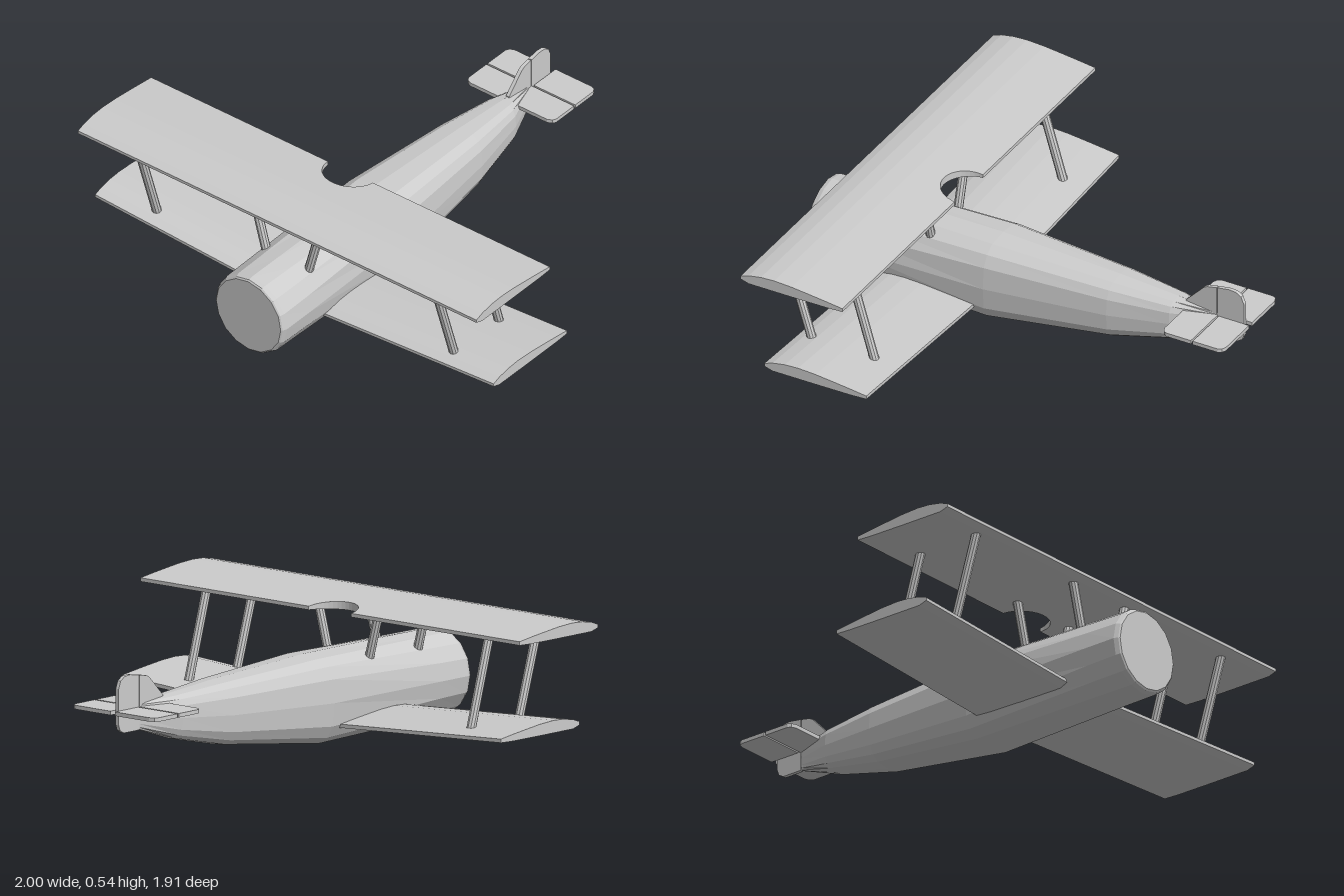
import * as THREE from 'three';

const V = (x, y, z) => new THREE.Vector3(x, y, z);
const grey = new THREE.MeshStandardMaterial({ color: 0xcccccc, flatShading: true, side: THREE.DoubleSide });

function add(group, name, geometry) {
  const mesh = new THREE.Mesh(geometry, grey);
  mesh.name = name;
  group.add(mesh);
  return mesh;
}

// Skin between rings of equal length, closed by a fan at each end
function loft(rings) {
  const pos = [];
  const tri = (...pts) => pts.forEach(p => pos.push(p.x, p.y, p.z));
  const n = rings[0].length;
  for (let i = 0; i < rings.length - 1; i++) {
    for (let j = 0; j < n; j++) {
      const k = (j + 1) % n;
      const a = rings[i][j], b = rings[i][k], c = rings[i + 1][k], d = rings[i + 1][j];
      tri(a, d, b);
      tri(b, d, c);
    }
  }
  const cap = (ring, flip) => {
    const mid = ring.reduce((s, p) => s.add(p), V(0, 0, 0)).divideScalar(n);
    ring.forEach((p, j) => {
      const q = ring[(j + 1) % n];
      flip ? tri(mid, q, p) : tri(mid, p, q);
    });
  };
  cap(rings[0], false);
  cap(rings[rings.length - 1], true);
  const g = new THREE.BufferGeometry();
  g.setAttribute('position', new THREE.Float32BufferAttribute(pos, 3));
  g.computeVertexNormals();
  return g;
}

// Fuselage ring: superellipse, round at the nose and squarer behind
function bodyRing([z, halfWidth, top, bottom, power]) {
  const cy = (top + bottom) / 2, h = (top - bottom) / 2;
  const bend = v => Math.sign(v) * Math.pow(Math.abs(v), 2 / power);
  return Array.from({ length: 16 }, (_, i) => {
    const a = (i / 16) * Math.PI * 2;
    return V(halfWidth * bend(Math.cos(a)), cy + h * bend(Math.sin(a)), z);
  });
}

// Wing section: chord fraction and height above the flat underside
const CHORD = 0.46;
const UPPER = [[0, 0.024], [0.08, 0.037], [0.2, 0.047], [0.33, 0.05], [0.5, 0.046], [0.7, 0.036], [0.85, 0.028], [1, 0.019]];
const LOWER = [[1, 0.004], [0.85, 0.001], [0.5, 0], [0.08, 0], [0, 0.011]];

function heightAt(curve, t) {
  const c = [...curve].sort((p, q) => p[0] - q[0]);
  const i = Math.max(1, c.findIndex(p => p[0] >= t));
  const [[t0, y0], [t1, y1]] = [c[i - 1], c[i]];
  return y0 + (y1 - y0) * (t - t0) / (t1 - t0);
}

function wingRing(x, y, zFront, tEnd = 1) {
  return [UPPER, LOWER].flatMap(curve => curve.map(([t]) => {
    const u = Math.min(t, tEnd);
    return V(x, y + heightAt(curve, u), zFront - u * CHORD);
  }));
}

// Round bar between two points
function bar(group, name, a, b, radius) {
  const dir = b.clone().sub(a);
  const mesh = add(group, name, new THREE.CylinderGeometry(radius, radius, dir.length(), 10));
  mesh.position.copy(a).add(b).multiplyScalar(0.5);
  mesh.quaternion.setFromUnitVectors(V(0, 1, 0), dir.normalize());
}

// Thin plate from an outline, centred on its thickness
function plate(points, thickness = 0.016) {
  const shape = new THREE.Shape(points.map(p => new THREE.Vector2(...p)));
  return new THREE.ExtrudeGeometry(shape, { depth: thickness, bevelEnabled: false })
    .translate(0, 0, -thickness / 2);
}

export function createModel() {
  const model = new THREE.Group();
  model.name = 'biplane';

  // Fuselage: z, half width, top, bottom, squareness
  add(model, 'fuselage', loft([
    [0.955, 0.162, 0.343, 0.017, 2],
    [0.95, 0.168, 0.35, 0.01, 2],
    [0.932, 0.175, 0.356, 0.003, 2],
    [0.78, 0.174, 0.356, 0.003, 2.1],
    [0.16, 0.162, 0.356, 0, 3],
    [-0.37, 0.116, 0.33, 0.07, 3],
    [-0.63, 0.075, 0.311, 0.13, 3],
    [-0.81, 0.006, 0.292, 0.19, 3],
  ].map(bodyRing)));

  // Upper wing with a half-round cutout in the trailing edge
  const cut = 0.112;
  const stations = [wingRing(-1, 0.49, 0.775), wingRing(-cut - 0.0005, 0.49, 0.775)];
  for (let i = 0; i <= 20; i++) {
    const a = Math.PI * (1 - i / 20);
    stations.push(wingRing(cut * Math.cos(a), 0.49, 0.775, 1 - cut * Math.sin(a) / CHORD));
  }
  stations.push(wingRing(cut + 0.0005, 0.49, 0.775), wingRing(1, 0.49, 0.775));
  add(model, 'upperWing', loft(stations));

  // Lower wing, rising towards the tips
  add(model, 'lowerWing', loft([-1, 0, 1].map(x => wingRing(x, 0.06 + 0.057 * Math.abs(x), 0.667))));

  // Struts
  for (const [side, s] of [['left', 1], ['right', -1]]) {
    for (const [end, zTop, zBottom] of [['Front', 0.71, 0.595], ['Rear', 0.425, 0.315]]) {
      bar(model, side + end + 'WingStrut', V(0.745 * s, 0.5, zTop), V(0.745 * s, 0.13, zBottom), 0.019);
      bar(model, side + end + 'CabinStrut', V(0.158 * s, 0.5, zTop), V(0.1 * s, 0.285, zTop), 0.019);
    }
  }

  // Upright tail: outlines as distance aft and height
  add(model, 'fin', plate([[0.67, 0.28], [0.67, 0.31], [0.75, 0.393], [0.765, 0.401], [0.807, 0.409], [0.807, 0.2]])
    .rotateY(Math.PI / 2));
  add(model, 'rudder', plate([
    [0.811, 0.19], [0.811, 0.41], [0.865, 0.418], [0.895, 0.415], [0.918, 0.4],
    [0.93, 0.37], [0.93, 0.225], [0.922, 0.203], [0.9, 0.19],
  ]).rotateY(Math.PI / 2));

  // Level tail: outlines as x and distance aft
  const flat = points => plate(points).rotateX(-Math.PI / 2).translate(0, 0.275, 0);
  const front = [[0.22, 0.812], [0.22, 0.7], [0.212, 0.686], [0.192, 0.677]];
  add(model, 'stabilizer', flat([...front, ...front.map(([x, v]) => [-x, v]).reverse()]));
  for (const [side, s] of [['left', 1], ['right', -1]]) {
    add(model, side + 'Elevator', flat([
      [0.012, 0.82], [0.22, 0.82], [0.22, 0.932], [0.212, 0.948], [0.192, 0.956], [0.012, 0.956],
    ].map(([x, v]) => [x * s, v])));
  }

  return model;
}
